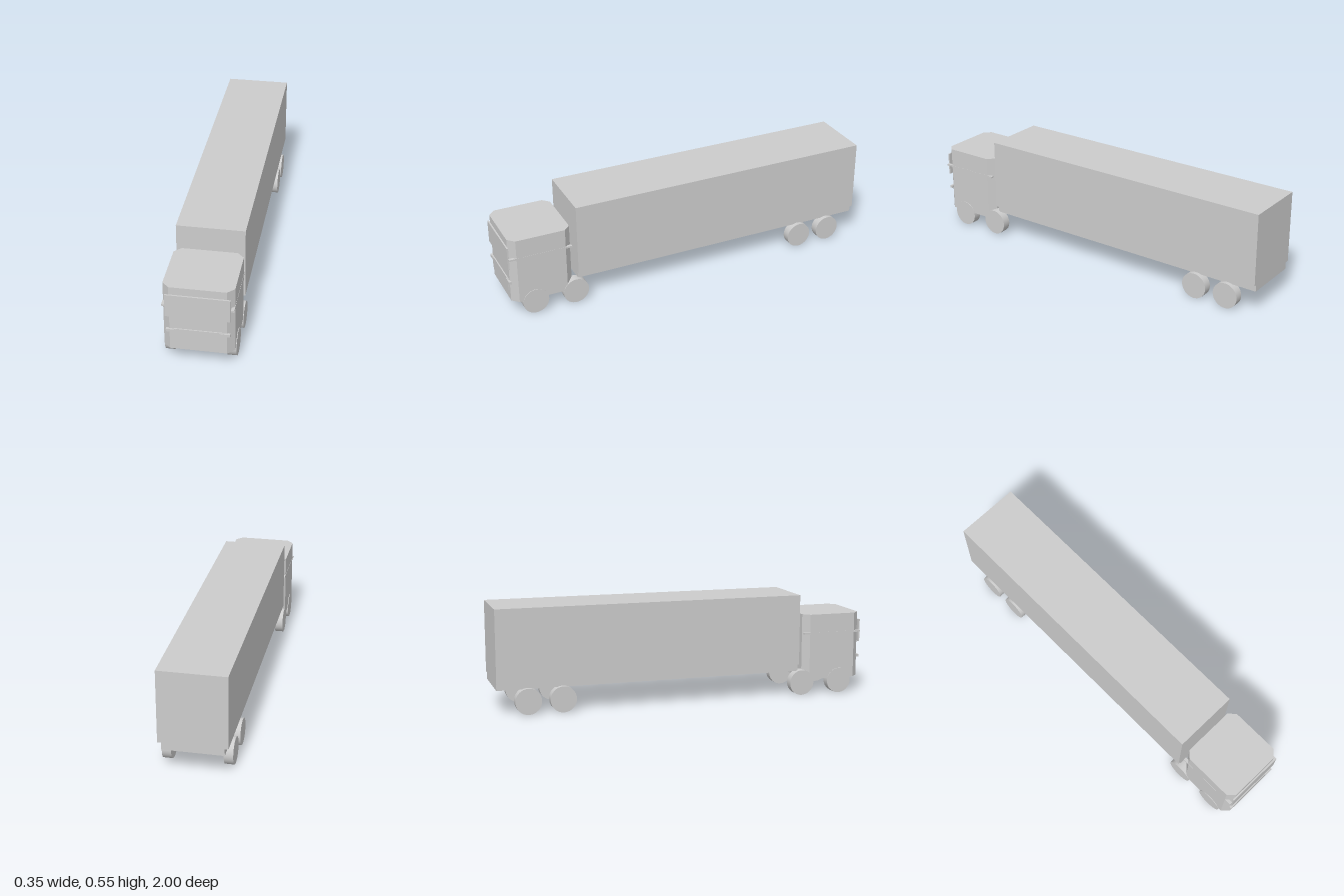
import * as THREE from 'three';

export function createModel() {
  const truck = new THREE.Group();
  truck.name = 'truck';
  const grey = new THREE.MeshStandardMaterial({ color: 0xcccccc });
  grey.name = 'lightGrey';

  const add = (name, geometry) => {
    const mesh = new THREE.Mesh(geometry, grey);
    mesh.name = name;
    truck.add(mesh);
    return mesh;
  };
  // Box given by its minimum and maximum on each axis
  const box = (name, x0, x1, y0, y1, z0, z1) =>
    add(name, new THREE.BoxGeometry(x1 - x0, y1 - y0, z1 - z0))
      .position.set((x0 + x1) / 2, (y0 + y1) / 2, (z0 + z1) / 2);

  // Trailer body on a slightly narrower frame
  box('trailerBody', -0.17, 0.17, 0.168, 0.546, -1, 0.637);
  box('trailerFrame', -0.152, 0.152, 0.13, 0.168, -0.998, 0.636);

  // Cab: plan outline with cut corners, extruded upwards
  const w = 0.171, c = 0.034, back = 0.665, front = 0.991;
  const plan = new THREE.Shape([
    [-w + c, -front], [w - c, -front], [w, -front + c], [w, -back - c],
    [w - c, -back], [-w + c, -back], [-w, -back - c], [-w, -front + c],
  ].map(([x, y]) => new THREE.Vector2(x, y)));
  const cab = new THREE.ExtrudeGeometry(plan, { depth: 0.354, bevelEnabled: false });
  cab.rotateX(-Math.PI / 2);
  add('cab', cab).position.y = 0.083;

  // Plates on the cab front
  box('windscreen', -0.156, 0.156, 0.275, 0.396, 0.991, 0.999);
  box('grille', -0.123, 0.123, 0.138, 0.204, 0.991, 0.997);

  for (const [side, s] of [['left', 1], ['right', -1]]) {
    // Headlight and side rail
    const mid = (a, b) => [Math.min(s * a, s * b), Math.max(s * a, s * b)];
    box(side + 'Headlight', ...mid(0.107, 0.153), 0.187, 0.201, 0.986, 1);
    box(side + 'SideRail', ...mid(0.156, 0.172), 0.33, 0.339, 0.665, 0.995);

    // Wheels from front to rear
    [0.871, 0.654, -0.659, -0.839].forEach((z, i) => {
      const wheel = new THREE.CylinderGeometry(0.068, 0.068, 0.046, 40);
      wheel.rotateZ(Math.PI / 2);
      add(side + 'Wheel' + (i + 1), wheel).position.set(s * 0.151, 0.068, z);
    });
  }
  return truck;
}
